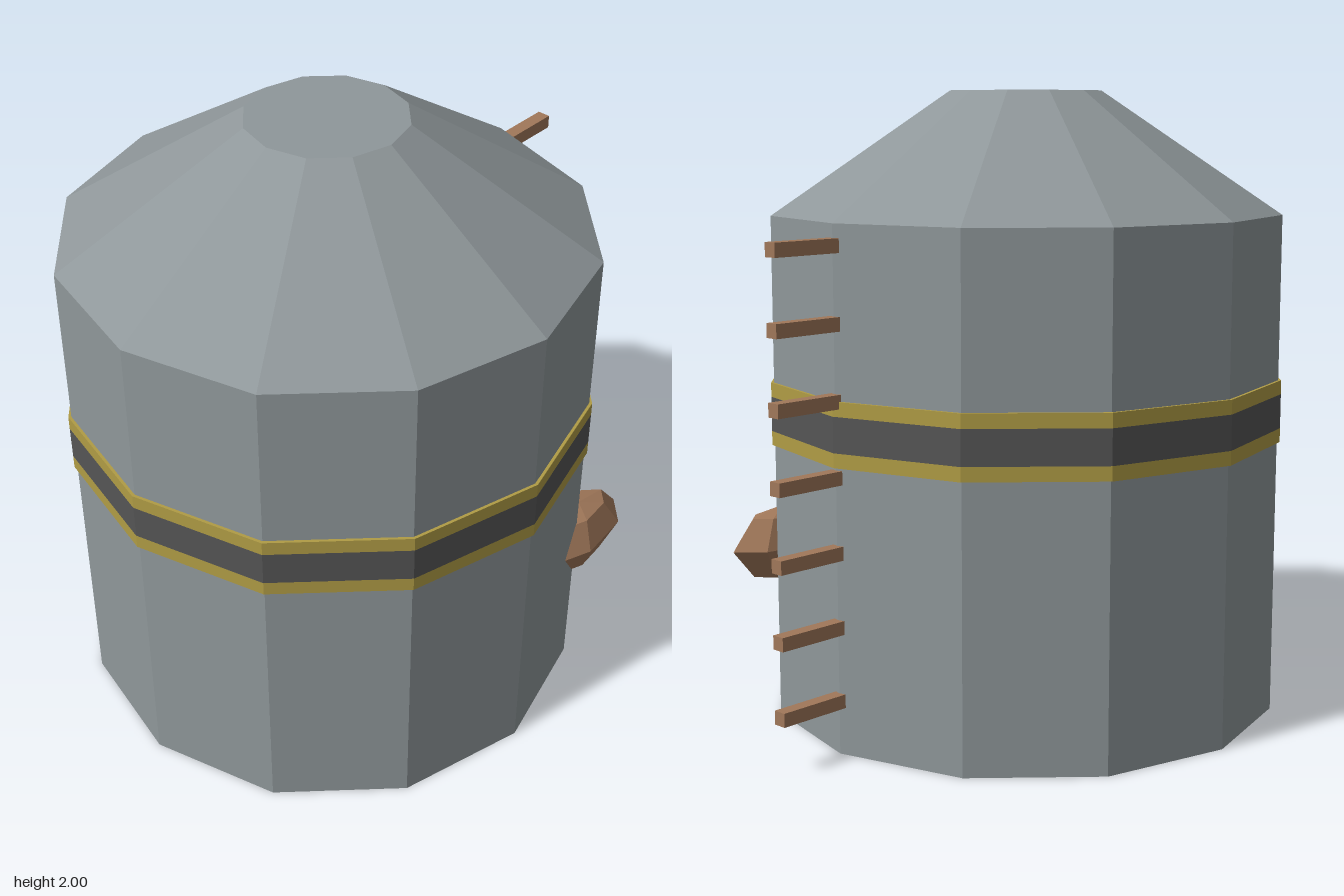
import * as THREE from 'three';

const SIDES = 12;
const CX = -0.1125; // tank axis
const R = 0.828;

// split the faces so every facet is shaded flat
function faceted(geometry) {
  const g = geometry.index ? geometry.toNonIndexed() : geometry;
  g.computeVertexNormals();
  return g;
}

// turned shape from [radius, y] pairs listed bottom to top
function turned(profile, sides, start = 0) {
  const points = profile.map(([r, y]) => new THREE.Vector2(r, y));
  return faceted(new THREE.LatheGeometry(points, sides, start));
}

export function createModel() {
  const model = new THREE.Group();
  model.name = 'storageTank';

  const colour = (name, hex) => {
    const m = new THREE.MeshStandardMaterial({ color: hex });
    m.name = name;
    return m;
  };
  const steel = colour('greySteel', 0x8f979a);
  const yellow = colour('yellowPaint', 0xb09c45);
  const dark = colour('darkPaint', 0x555555);
  const rust = colour('rustyBrown', 0xa1785a);

  const add = (name, geometry, material, x, y, z, parent = model) => {
    const mesh = new THREE.Mesh(geometry, material);
    mesh.name = name;
    mesh.position.set(x, y, z);
    parent.add(mesh);
    return mesh;
  };

  // twelve-sided body with a truncated cone roof
  add('tankBody', turned([[0, 0], [R, 0], [R, 1.614]], SIDES), steel, CX, 0, 0);
  add('roof', turned([[R, 1.614], [0.248, 2], [0, 2]], SIDES), steel, CX, 0, 0);

  // thin painted band: dark stripe between two yellow ones
  const band = new THREE.Group();
  band.name = 'band';
  model.add(band);
  const stripe = (name, y0, y1, material) => {
    const r = R + 0.0095;
    add(name, turned([[R, y0], [r, y0], [r, y1], [R, y1]], SIDES), material, CX, 0, 0, band);
  };
  stripe('lowerYellowStripe', 0.89, 0.935, yellow);
  stripe('darkStripe', 0.935, 1.045, dark);
  stripe('upperYellowStripe', 1.045, 1.09, yellow);

  // ladder rungs on the left side
  const ladder = new THREE.Group();
  ladder.name = 'ladder';
  model.add(ladder);
  const rung = new THREE.BoxGeometry(0.25, 0.043, 0.043);
  for (let i = 0; i < 7; i++) add('rung', rung, rust, 0.825, 0.17 + i * 0.23, 0, ladder);

  // seven-sided faceted lump set into the front wall
  const lump = turned(
    [[0, -0.128], [0.6, -0.1], [1, 0], [0.6, 0.1], [0, 0.128]], 7, Math.PI / 2);
  lump.scale(0.215, 1, 0.1);
  lump.computeVertexNormals();
  add('wallLump', lump, rust, 0.364, 0.487, 0.675);

  return model;
}
